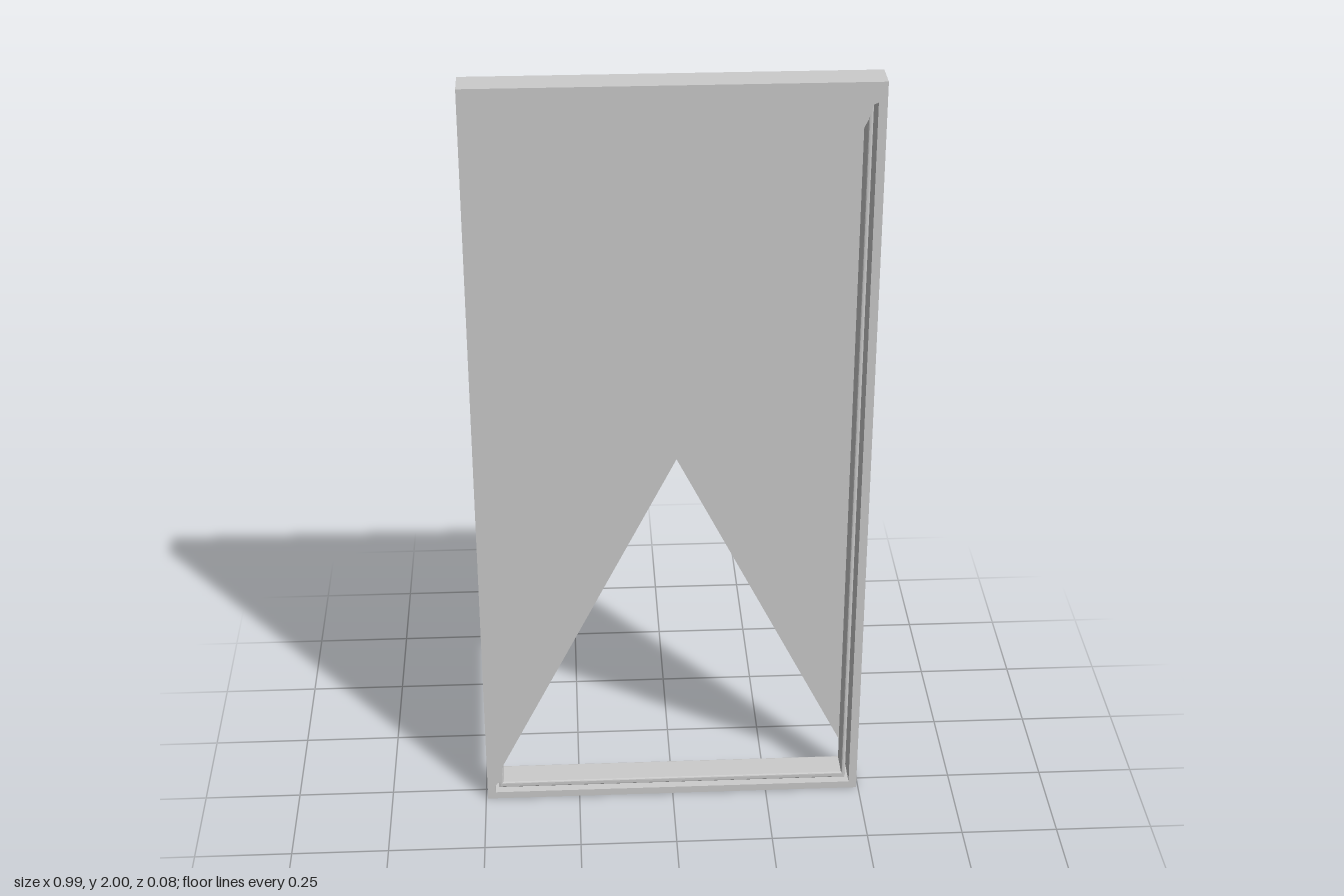
import * as THREE from 'three';

const W = 0.495, H = 2, D = 0.041;

function rectPath(path, x, y0, y1) {
  path.moveTo(-x, y0);
  path.lineTo(x, y0);
  path.lineTo(x, y1);
  path.lineTo(-x, y1);
  path.closePath();
  return path;
}

// Rectangular ring extruded symmetrically about z = 0
function ring(outer, inner, halfDepth, bevel, material, name) {
  const shape = rectPath(new THREE.Shape(), ...outer);
  shape.holes.push(rectPath(new THREE.Path(), ...inner));
  const geometry = new THREE.ExtrudeGeometry(shape, {
    depth: 2 * (halfDepth - bevel),
    bevelEnabled: bevel > 0,
    bevelThickness: bevel,
    bevelSize: bevel,
    bevelOffset: -bevel,
    bevelSegments: 3,
  });
  geometry.translate(0, 0, bevel - halfDepth);
  const mesh = new THREE.Mesh(geometry, material);
  mesh.name = name;
  return mesh;
}

export function createModel() {
  const group = new THREE.Group();
  group.name = 'framedPanel';
  const material = new THREE.MeshStandardMaterial({ color: 0xcccccc, side: THREE.DoubleSide });

  // Outer frame and the slimmer inner frame, with a narrow gap between them
  group.add(ring([W, 0, H], [0.474, 0.02, 1.98], D, 0, material, 'outerFrame'));
  group.add(ring([0.464, 0.033, 1.967], [0.453, 0.049, 1.951], 0.038, 0.004, material, 'innerFrame'));

  // Thin diagonal panel, filling the upper corner of the frame opening
  const panel = new THREE.Shape([
    [-0.474, 0.04], [-0.468, 0.05], [-0.455, 0.055], [-0.455, 0.1],
    [0.453, 1.91], [0.463, 1.945], [0.474, 1.95], [0.474, 1.98], [-0.474, 1.98],
  ].map(([x, y]) => new THREE.Vector2(x, y)));
  const panelGeometry = new THREE.ShapeGeometry(panel);
  panelGeometry.translate(0, 0, D);

  // The back panel is the front one turned half a circle about y
  ['frontPanel', 'backPanel'].forEach((name, i) => {
    const mesh = new THREE.Mesh(panelGeometry, material);
    mesh.name = name;
    mesh.rotation.y = i * Math.PI;
    group.add(mesh);
  });

  return group;
}
